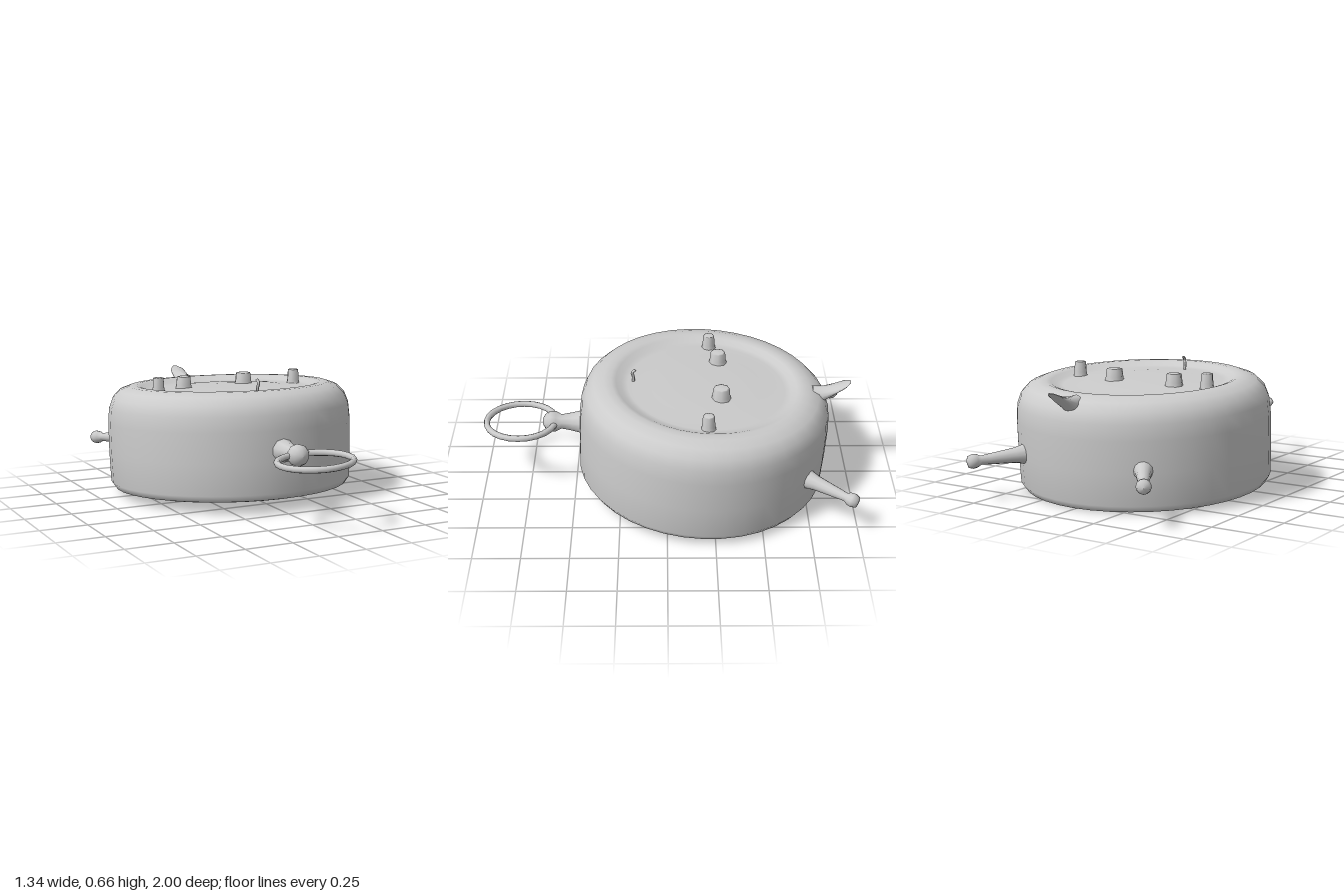
import * as THREE from 'three';

const material = new THREE.MeshStandardMaterial({ color: 0xcccccc, side: THREE.DoubleSide });

function add(parent, name, geometry) {
  const mesh = new THREE.Mesh(geometry, material);
  mesh.name = name;
  parent.add(mesh);
  return mesh;
}

// Lathe from [radius, height] pairs
function lathe(points, sides) {
  return new THREE.LatheGeometry(points.map(([r, y]) => new THREE.Vector2(r, y)), sides);
}

// Turn a lathe so its +y axis runs from one point towards another
function aim(mesh, from, to) {
  const start = new THREE.Vector3(...from);
  const dir = new THREE.Vector3(...to).sub(start).normalize();
  mesh.position.copy(start);
  mesh.quaternion.setFromUnitVectors(new THREE.Vector3(0, 1, 0), dir);
}

// Flattened, rounded spike rising backwards to a thin tip
function spoutGeometry() {
  const geometry = new THREE.CylinderGeometry(1, 1, 1, 14, 8);
  const p = geometry.attributes.position;
  for (let i = 0; i < p.count; i++) {
    const t = p.getY(i) + 0.5;
    const width = 0.044 * Math.sqrt(1.1 - t ** 8);
    const thickness = 0.004 + 0.056 * (1 - t) ** 1.3;
    p.setXYZ(i,
      0.01 + p.getX(i) * width,
      0.51 + 0.09 * t ** 1.3 + p.getZ(i) * thickness,
      -0.78 - 0.2 * t);
  }
  geometry.computeVertexNormals();
  return geometry;
}

export function createModel() {
  const model = new THREE.Group();
  model.name = 'tiltedDrum';

  // Round body, leaning slightly back, dished on top and hollowed below
  const body = add(model, 'body', lathe([
    [0, 0.105], [0.3, 0.1], [0.47, 0.088], [0.54, 0.072], [0.565, 0.045], [0.582, 0.012],
    [0.61, -0.006], [0.645, 0.002], [0.667, 0.035], [0.672, 0.2], [0.672, 0.36], [0.665, 0.44],
    [0.644, 0.495], [0.605, 0.535], [0.55, 0.555], [0.51, 0.557], [0.485, 0.55], [0.455, 0.534],
    [0.42, 0.528], [0.3, 0.537], [0.15, 0.541], [0, 0.541],
  ], 40));
  body.position.set(0, 0.04, -0.183);
  body.rotation.x = -0.052;

  // Studs in the dish: x, z, radius, top height
  const studs = [[-0.41, -0.235, 0.032, 0.645], [-0.24, -0.28, 0.042, 0.637],
    [0.13, -0.285, 0.045, 0.637], [0.41, -0.21, 0.032, 0.648]];
  for (const [x, z, r, top] of studs) {
    const stud = add(model, 'stud', lathe([
      [r * 1.25, 0], [r * 1.05, 0.03], [r * 0.95, top - 0.563], [r * 0.75, top - 0.56],
      [0, top - 0.558],
    ], 8));
    stud.position.set(x, 0.56, z);
  }

  // Small hooked pin near the front of the dish
  const pin = new THREE.CatmullRomCurve3([[-0.015, 0.57, 0.18], [-0.017, 0.62, 0.18],
    [-0.012, 0.645, 0.185], [-0.016, 0.66, 0.168]].map(p => new THREE.Vector3(...p)));
  add(model, 'pin', new THREE.TubeGeometry(pin, 10, 0.008, 6));

  // Two knobbed pegs at the back
  for (const side of [-1, 1]) {
    const peg = add(model, 'backPeg', lathe([
      [0.055, -0.03], [0.04, 0.04], [0.034, 0.1], [0.028, 0.17], [0.023, 0.215], [0.034, 0.235],
      [0.038, 0.258], [0.03, 0.282], [0, 0.29],
    ], 12));
    aim(peg, [side * 0.375 + 0.01, 0.225, -0.75], [side * 0.53 + 0.015, 0.205, -0.97]);
  }

  add(model, 'spout', spoutGeometry());

  // Front neck with a knob
  const neck = add(model, 'neck', lathe([
    [0.085, 0], [0.06, 0.04], [0.05, 0.08], [0.039, 0.14], [0.055, 0.17], [0.057, 0.2],
    [0.043, 0.225], [0.02, 0.24], [0, 0.243],
  ], 10));
  aim(neck, [-0.015, 0.33, 0.435], [-0.015, 0.335, 0.7]);

  // Ring held by the knob
  const ring = add(model, 'ring', new THREE.TorusGeometry(0.188, 0.017, 8, 24));
  ring.geometry.rotateX(Math.PI / 2);
  ring.position.set(-0.015, 0.336, 0.795);
  ring.rotation.z = 0.055;

  return model;
}
